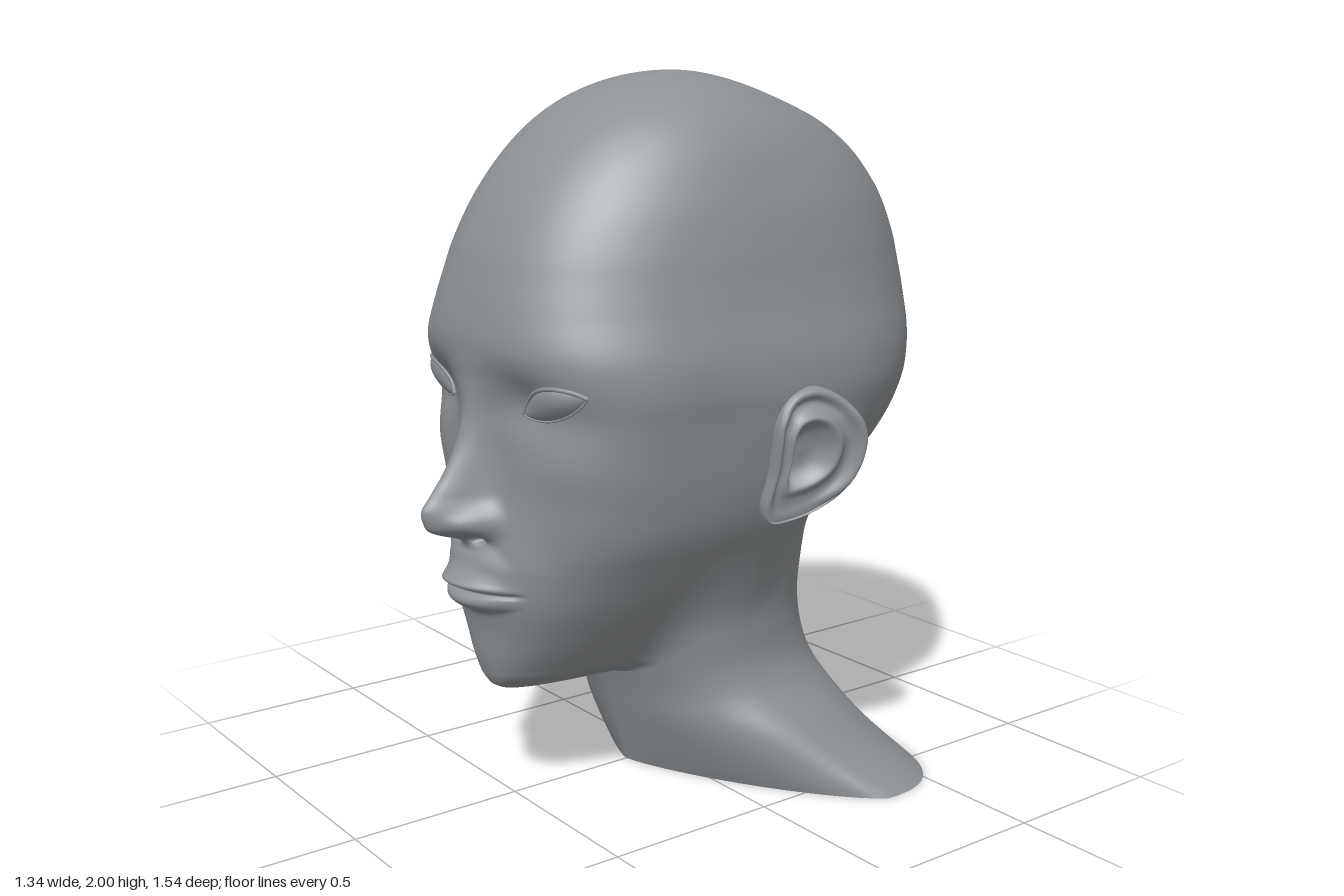
import * as THREE from 'three';

// Smooth monotone curve through [y, value] points, constant past both ends
function curve(p) {
  const n = p.length, h = [], s = [], m = [];
  for (let i = 0; i < n - 1; i++) {
    h.push(p[i + 1][0] - p[i][0]);
    s.push((p[i + 1][1] - p[i][1]) / h[i]);
  }
  for (let i = 0; i < n; i++) {
    const l = Math.max(i - 1, 0), r = Math.min(i, n - 2), a = s[l], b = s[r];
    const mid = (a * h[r] + b * h[l]) / (h[l] + h[r]), cap = 3 * Math.min(Math.abs(a), Math.abs(b));
    m.push(a * b <= 0 ? 0 : Math.sign(mid) * Math.min(Math.abs(mid), cap));
  }
  return y => {
    if (y <= p[0][0]) return p[0][1];
    if (y >= p[n - 1][0]) return p[n - 1][1];
    let i = 0;
    while (y > p[i + 1][0]) i++;
    const t = (y - p[i][0]) / h[i], q = 1 - t;
    return p[i][1] * (1 + 2 * t) * q * q + m[i] * h[i] * t * q * q
      + p[i + 1][1] * t * t * (3 - 2 * t) - m[i + 1] * h[i] * t * t * q;
  };
}

// Centre line of the horizontal sections; setback moves the widest point of the skull backwards
const axis = curve([[0, -.32], [.1, -.22], [.25, -.12], [.45, -.06], [.7, -.05]]);
const setback = curve([[.75, 0], [.92, .06], [1.1, .13], [1.25, .145], [1.4, .135], [1.65, .07], [1.9, 0]]);
const centre = y => axis(y) - setback(y);

// Skull and jaw: half width, reach to front and back, roundness of each half
const skull = {
  w: curve([[.312, .02], [.318, .06], [.326, .09], [.345, .125], [.36, .155], [.4, .195], [.45, .237], [.5, .275],
    [.6, .342], [.7, .4], [.8, .455], [.9, .492], [1, .519], [1.1, .54], [1.18, .55], [1.25, .545], [1.4, .509],
    [1.5, .488], [1.6, .476], [1.7, .475], [1.8, .487], [1.9, .508], [2, .53]]),
  f: curve([[.312, .05], [.318, .42], [.326, .62], [.345, .65], [.4, .658], [.5, .66], [.6, .67], [.7, .668],
    [.8, .652], [.9, .638], [1, .635], [1.1, .645], [1.2, .667], [1.3, .683], [1.4, .67], [1.5, .642],
    [1.6, .613], [1.7, .592], [1.8, .577], [2, .57]]),
  b: curve([[.312, .05], [.5, .18], [.7, .3], [.8, .39], [.85, .46], [.9, .525], [.95, .58], [1, .625], [1.1, .68],
    [1.2, .705], [1.3, .715], [1.4, .71], [1.5, .697], [1.6, .685], [1.7, .678], [1.8, .667], [1.87, .64],
    [1.94, .55], [2, .47]]),
  nf: curve([[.32, 2.6], [.5, 2.6], [.8, 2.8], [1, 2.9], [1.2, 2.9], [1.4, 2.6], [1.6, 2.4], [2, 2.1]]),
  nb: curve([[.5, 2], [.8, 1.9], [1, 2.05], [1.2, 2.15], [1.6, 2.15], [2, 2]]),
};

// Neck flaring out to the shoulders
const neck = {
  w: curve([[0, .67], [.075, .57], [.175, .465], [.27, .37], [.36, .334], [.45, .33], [.6, .345], [.8, .375],
    [1.1, .38]]),
  f: curve([[0, .43], [.1, .36], [.2, .318], [.3, .3], [.4, .3], [1, .31]]),
  b: curve([[0, .315], [.1, .35], [.2, .372], [.3, .382], [.4, .39], [.5, .391], [.6, .4], [.7, .415], [.8, .455],
    [.9, .5], [1.1, .5]]),
  nf: curve([[0, 1.25], [.2, 1.65], [.45, 2.1]]),
  nb: curve([[0, 2.9], [.15, 2.4], [.4, 2.1]]),
};

const dome = y => y < 1.5 ? 1 : Math.sqrt(Math.max(1e-6, 1 - ((y - 1.5) / .5) ** 2));

function radius(part, y, sin, cos) {
  const k = dome(y), n = cos > 0 ? part.nf(y) : part.nb(y);
  const d = cos > 0 ? part.f(y) * k + setback(y) : part.b(y) * k - setback(y);
  return Math.pow(Math.abs(sin / (part.w(y) * k)) ** n + Math.abs(cos / d) ** n, -1 / n);
}

function softMax(a, b, k) {
  const h = Math.max(k - Math.abs(a - b), 0) / k;
  return Math.max(a, b) + h * h * k / 4;
}

// Facial relief, as forward offset at (x, y)
const noseHeight = curve([[.74, 0], [.755, .015], [.77, .045], [.785, .1], [.8, .14], [.83, .168], [.86, .178],
  [.9, .155], [.95, .12], [1, .09], [1.1, .04], [1.2, .012], [1.28, 0]]);
const noseWidth = curve([[.76, .05], [.83, .065], [.9, .058], [1, .06], [1.1, .07], [1.25, .1]]);
const lipHeight = curve([[.53, 0], [.565, .008], [.585, .042], [.605, .058], [.622, .052], [.632, .044],
  [.642, .06], [.655, .076], [.67, .058], [.69, .042], [.74, .025], [.78, 0]]);

function relief(x, y) {
  const ax = Math.abs(x);
  const bump = (cx, cy, sx, sy) => Math.exp(-(((ax - cx) / sx) ** 2) - ((y - cy) / sy) ** 2);
  const t = Math.max(0, 1 - (ax / .185) ** 2);
  let d = noseHeight(y) * Math.exp(-((ax / noseWidth(y)) ** 2));
  d += .045 * bump(.075, .825, .035, .04) - .04 * bump(.042, .778, .02, .012);  // nostrils
  d -= .032 * bump(.19, 1.16, .1, .08) + .015 * bump(.3, 1.14, .12, .08);       // eye sockets
  d += .012 * bump(.33, 1, .1, .08) - .015 * bump(.26, .74, .1, .12);           // cheeks
  d += lipHeight(.632 + (y - .632) / (.45 + .55 * t)) * Math.pow(t, 1.5);       // lips
  d -= .01 * Math.exp(-(((y - .634) / .006) ** 2)) * Math.min(1, t * 4);        // mouth line
  return d;
}

function faceZ(x, y) {
  const n = skull.nf(y);
  return axis(y) - setback(y) + relief(x, y)
    + (skull.f(y) + setback(y)) * Math.pow(1 - Math.abs(x / skull.w(y)) ** n, 1 / n);
}

// Joins a grid of points; closed wraps the columns round
function gridGeometry(rows, cols, closed, point) {
  const pos = [], idx = [], last = closed ? cols : cols - 1;
  for (let i = 0; i < rows; i++) for (let j = 0; j < cols; j++) pos.push(...point(i, j));
  for (let i = 0; i < rows - 1; i++) for (let j = 0; j < last; j++) {
    const k = (j + 1) % cols, a = i * cols + j, b = i * cols + k;
    idx.push(a, b, b + cols, a, b + cols, a + cols);
  }
  const g = new THREE.BufferGeometry();
  g.setAttribute('position', new THREE.Float32BufferAttribute(pos, 3));
  g.setIndex(idx);
  g.computeVertexNormals();
  return g;
}

function headGeometry() {
  const ys = [], cols = 208;
  const span = (a, b, n) => { for (let i = 0; i < n; i++) ys.push(a + (b - a) * i / n); };
  span(0, .3, 24); span(.3, .33, 24); span(.33, .55, 26); span(.55, 1.25, 130); span(1.25, 1.5, 18);
  for (let i = 0; i <= 34; i++) ys.push(1.5 + .5 * Math.sin(i / 34 * Math.PI / 2));
  return gridGeometry(ys.length, cols, true, (i, j) => {
    const y = ys[i], u = j / cols * Math.PI * 2, a = u - .6 * Math.sin(u);   // finer columns on the face
    const s = Math.sin(a), c = Math.cos(a);
    const rs = radius(skull, y, s, c);
    const r = y > 1.1 ? rs : softMax(rs, radius(neck, y, s, c), .08);
    const z = centre(y) + r * c;
    const temple = .045 * Math.exp(-(((z - .15) / .18) ** 2) - ((y - 1.12) / .26) ** 2);
    const x = r * s * (1 - temple);
    const front = y > .4 && y < 1.5 ? THREE.MathUtils.smoothstep(z, .1, .35) : 0;
    return [x, y, z + (front ? front * relief(x, y) : 0)];
  });
}

// Almond eye: u runs from inner to outer corner, v from lower to upper lid
function eyePoint(u, v, lift) {
  const along = .108 * u, up = (v > 0 ? .047 : .036) * v * Math.pow(Math.max(0, 1 - u * u), .8);
  const x = .278 + along * Math.cos(.3) - up * Math.sin(.3);
  const y = 1.162 + along * Math.sin(.3) + up * Math.cos(.3);
  return [x, y, faceZ(x, y) + lift];
}

function lidGeometry(v, thickness) {
  const pts = [];
  for (let i = 0; i <= 14; i++) pts.push(new THREE.Vector3(...eyePoint(i / 7 - 1, v, .002)));
  return new THREE.TubeGeometry(new THREE.CatmullRomCurve3(pts), 36, thickness, 8);
}

// Ear: rings of the outline, from the hollow over the rim to the back
function earGeometry() {
  const outline = new THREE.CatmullRomCurve3([[0, 1.1], [-.04, 1.165], [-.11, 1.185], [-.18, 1.15], [-.225, 1.07],
    [-.225, .98], [-.19, .9], [-.13, .85], [-.06, .82], [0, .815], [.015, .86], [.005, .95], [.005, 1.03]]
    .map(([z, y]) => new THREE.Vector3(0, y, z)), true);
  const profile = new THREE.CatmullRomCurve3([[0, -.022], [.25, -.02], [.4, -.002], [.53, .022], [.66, .01],
    [.78, .01], [.88, .03], [.96, .03], [1, .01], [.97, -.015], [.85, -.035], [.55, -.07]]
    .map(([r, h]) => new THREE.Vector3(r, h, 0)));
  const cols = 56, ring = outline.getPoints(cols);
  return gridGeometry(45, cols, true, (i, j) => {
    const q = profile.getPoint(i / 44), o = ring[j];
    const z = -.08 + (o.z + .08) * q.x, y = 1.01 + (o.y - 1.01) * q.x;
    const lobe = 1 - THREE.MathUtils.smoothstep(y, .85, .93);
    const cheek = THREE.MathUtils.smoothstep(z, -.05, .01);
    let h = q.y;
    if (i < 30) h = THREE.MathUtils.lerp(h, .012, Math.max(lobe * .8, cheek * .6));
    const tilt = y < 1.05 ? .17 * (y - 1.05) : y > 1.1 ? -.4 * (y - 1.1) : 0;
    return [.53 - .37 * z + tilt + h, y, z];
  });
}

export function createModel() {
  const group = new THREE.Group();
  group.name = 'bust';
  const skin = new THREE.MeshStandardMaterial({ color: 0x8d9194, side: THREE.DoubleSide });
  skin.name = 'grey clay';
  const add = (geometry, name, parent = group) => {
    const mesh = new THREE.Mesh(geometry, skin);
    mesh.name = name;
    parent.add(mesh);
  };

  add(headGeometry(), 'headAndNeck');

  const eyeball = gridGeometry(17, 25, false, (i, j) => {
    const u = j / 12 - 1, v = i / 8 - 1;
    return eyePoint(u, v, .001 + .022 * (1 - u * u) * (1 - v * v));
  });
  const upperLid = lidGeometry(1, .006), lowerLid = lidGeometry(-1, .0035), ear = earGeometry();
  for (const side of [1, -1]) {
    const half = new THREE.Group();
    half.name = side > 0 ? 'leftFeatures' : 'rightFeatures';
    half.scale.x = side;
    add(eyeball, 'eye', half);
    add(upperLid, 'upperEyelid', half);
    add(lowerLid, 'lowerEyelid', half);
    add(ear, 'ear', half);
    group.add(half);
  }
  return group;
}
